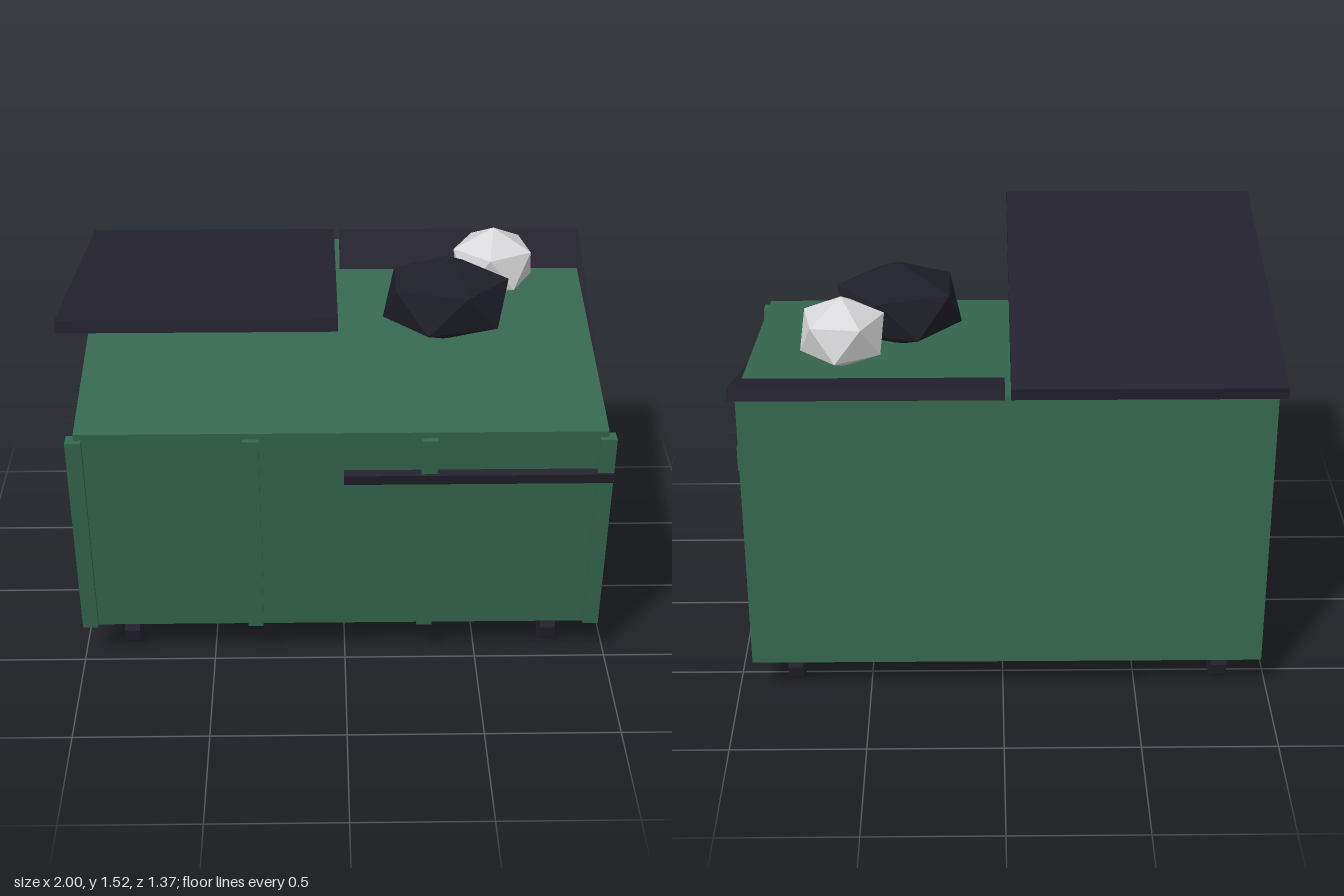
import * as THREE from 'three';
import { ConvexGeometry } from 'three/addons/geometries/ConvexGeometry.js';

const material = (name, color) => {
  const m = new THREE.MeshStandardMaterial({ color });
  m.name = name;
  return m;
};

// Extrudes a [z, y] side profile across x, centred on x = 0
function sideExtrude(profile, width) {
  const shape = new THREE.Shape(profile.map(([z, y]) => new THREE.Vector2(z, y)));
  const geo = new THREE.ExtrudeGeometry(shape, { depth: width, bevelEnabled: false });
  return geo.rotateY(-Math.PI / 2).translate(width / 2, 0, 0);
}

// Icosahedron standing on a point, stretched to the given radii
function bagGeometry(rx, ry, rz, turn) {
  const points = [new THREE.Vector3(0, ry, 0), new THREE.Vector3(0, -ry, 0)];
  const ring = 2 / Math.sqrt(5), height = 1 / Math.sqrt(5);
  for (let i = 0; i < 10; i++) {
    const a = turn + (i * Math.PI) / 5;
    const y = i % 2 === 0 ? height : -height;
    points.push(new THREE.Vector3(Math.cos(a) * ring * rx, y * ry, Math.sin(a) * ring * rz));
  }
  return new ConvexGeometry(points);
}

export function createModel() {
  const group = new THREE.Group();
  group.name = 'dumpster';
  const green = material('green paint', 0x366850);
  const dark = material('dark plastic', 0x23222e);
  const black = material('black bag plastic', 0x1f1f29);
  const white = material('white bag plastic', 0xd8d8da);

  const add = (name, geo, mat, x, y, z) => {
    const mesh = new THREE.Mesh(geo, mat);
    mesh.name = name;
    mesh.position.set(x, y, z);
    group.add(mesh);
    return mesh;
  };

  // Body with a sloping front and top
  const profile = [[0.485, 0.15], [0.645, 1.055], [-0.66, 1.26], [-0.66, 0.15]];
  add('body', sideExtrude(profile, 1.91), green, -0.015, 0, 0);

  // Ribs leaning with the front wall
  const ribGeo = sideExtrude([[0.505, 0.15], [0.664, 1.03], [0.605, 1.03], [0.448, 0.15]], 0.058);
  for (const x of [-0.971, -0.34, 0.302, 0.939]) add('frontRib', ribGeo, green, x, 0, 0);

  // Side handle
  add('sideHandle', new THREE.BoxGeometry(0.07, 0.1, 0.4), green, 0.965, 0.8, -0.057);

  // Lids: one raised, one sunk into the body
  add('raisedLid', new THREE.BoxGeometry(0.973, 0.045, 1.375), dark, -0.514, 1.384, 0.002)
    .rotation.x = -0.16;
  add('loweredLid', new THREE.BoxGeometry(0.973, 0.045, 1.38), dark, 0.48, 1.068, -0.019)
    .rotation.x = 0.31;

  // Wheels
  const wheelGeo = new THREE.CylinderGeometry(0.09, 0.09, 0.058, 10).toNonIndexed();
  wheelGeo.rotateZ(Math.PI / 2).computeVertexNormals();
  for (const x of [-0.82, 0.785])
    for (const z of [0.345, -0.51]) add('wheel', wheelGeo, dark, x, 0.0856, z);

  // Rubbish bags
  add('blackBag', bagGeometry(0.263, 0.17, 0.22, 0), black, 0.385, 1.31, 0.042);
  add('whiteBag', bagGeometry(0.175, 0.14, 0.175, 0.45), white, 0.585, 1.33, -0.26);

  return group;
}
